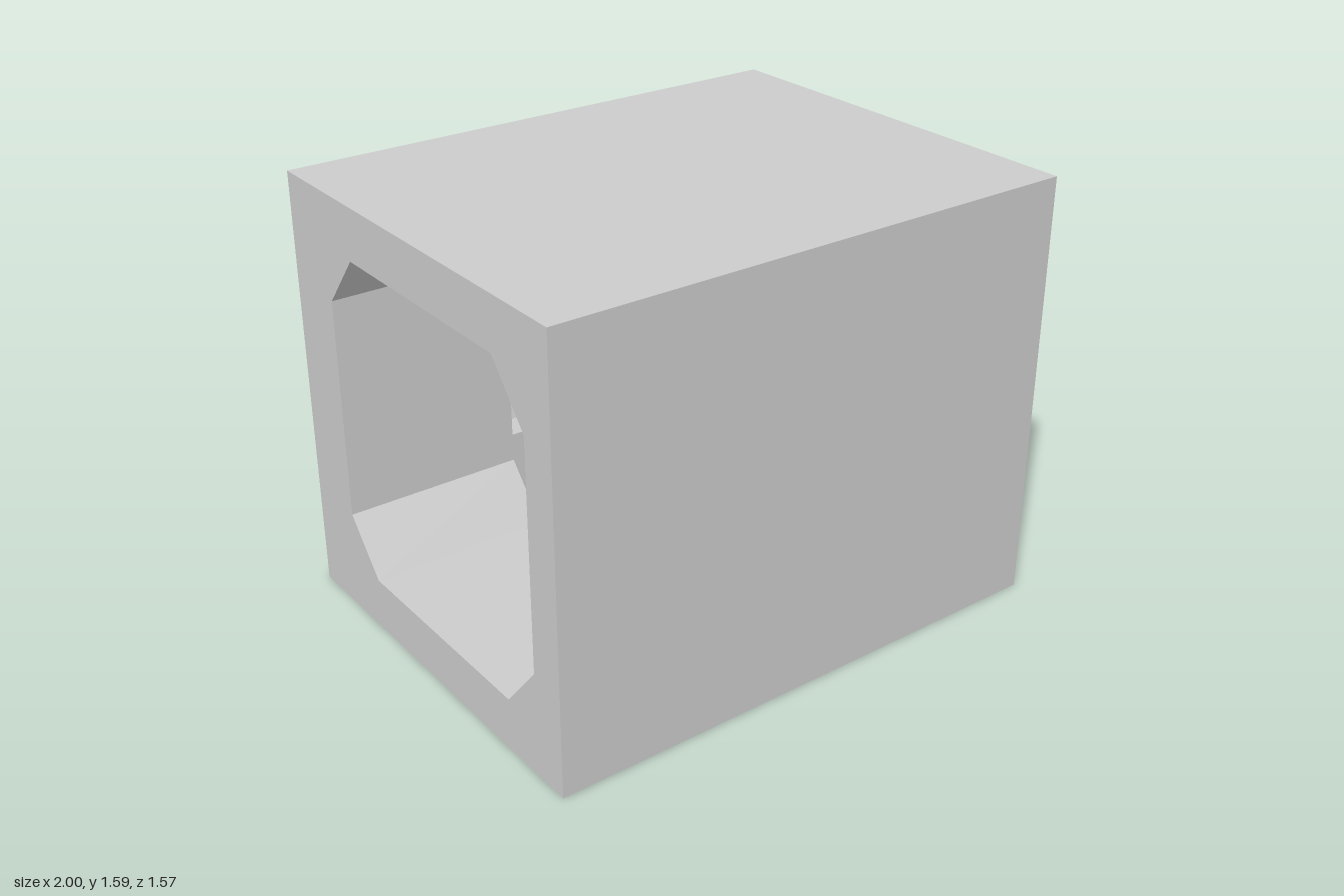
import * as THREE from 'three';

const H = 1.59, D = 0.785;   // outer height and half depth
const BAY = 0.33;            // half length of the middle bay

// Cross-section corners are [u, y] with u = -z, so +u is the back wall.
const lowerBack = [[0.37, 0.195], [0.535, 0.385]];
const upper = [[0.535, 1.205], [0.37, 1.4], [-0.485, 1.4]];
const frontWall = [[-0.645, 1.205], [-0.645, 0.385], [-0.485, 0.195]];

// Middle bay: square lower back corner, console niche, shallow lamp recess
const kneeCorner = [[0.535, 0.195]];
const niche = [[0.535, 0.49], [0.645, 0.49], [0.685, 0.633], [0.535, 0.633]];
const lampRecess = [[0.275, 0], [0.275, 0.004], [0.786, 0.004], [0.786, 0]].map(([t, d]) =>
  [-0.485 - 0.16 * t - 0.773 * d, 1.4 - 0.195 * t + 0.634 * d]);

const plainBore = [...lowerBack, ...upper, ...frontWall];
const bayBore = [...kneeCorner, ...niche, ...upper, ...lampRecess, ...frontWall];

const toPoints = (list) => list.map(([u, y]) => new THREE.Vector2(u, y));

export function createModel() {
  const group = new THREE.Group();
  const material = new THREE.MeshStandardMaterial({ color: 0xcccccc, flatShading: true });

  const add = (name, geometry) => {
    const mesh = new THREE.Mesh(geometry, material);
    mesh.name = name;
    group.add(mesh);
    return mesh;
  };

  // A length of tunnel running from x0 to x1
  const section = (name, bore, x0, x1) => {
    const shape = new THREE.Shape(toPoints([[-D, 0], [D, 0], [D, H], [-D, H]]));
    shape.holes.push(new THREE.Path(toPoints(bore)));
    const geometry = new THREE.ExtrudeGeometry(shape, { depth: x1 - x0, bevelEnabled: false });
    geometry.rotateY(Math.PI / 2).translate(x0, 0, 0);
    add(name, geometry);
  };

  section('leftTunnelSection', plainBore, BAY, 1);
  section('middleTunnelSection', bayBore, -BAY, BAY);
  section('rightTunnelSection', plainBore, -1, -BAY);

  // Thin screen on the back wall above the niche
  add('wallScreen', new THREE.BoxGeometry(0.4, 0.215, 0.023)).position.set(0, 0.82, -0.5335);

  return group;
}
